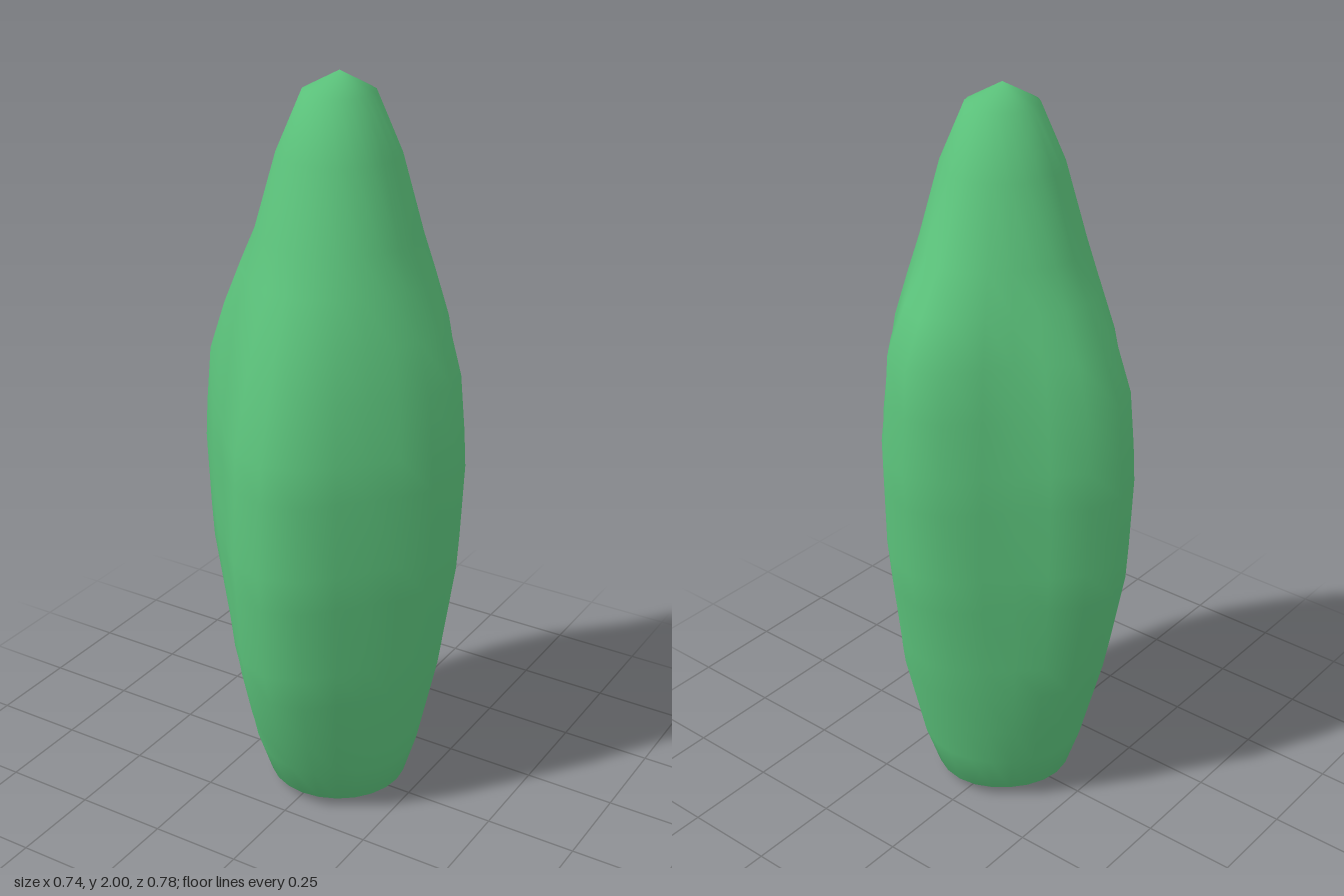
import * as THREE from 'three';

// Profiles as [height, radius] measured from the slightly offset axis
const AXIS_X = 0.02;
const FRONT = [[0, 0.13], [0.03, 0.19], [0.27, 0.31], [0.5, 0.37], [0.8, 0.39], [1.11, 0.37], [1.35, 0.305], [1.58, 0.215], [1.8, 0.155], [1.95, 0.09]];
const LEFT = [[0, 0.13], [0.03, 0.19], [0.15, 0.225], [0.4, 0.28], [0.7, 0.33], [1, 0.348], [1.25, 0.33], [1.4, 0.285], [1.58, 0.215], [1.8, 0.155], [1.95, 0.09]];
const BACK = [[0, 0.13], [0.03, 0.195], [0.15, 0.235], [0.4, 0.305], [0.75, 0.37], [1.1, 0.39], [1.38, 0.37], [1.5, 0.31], [1.62, 0.225], [1.8, 0.155], [1.95, 0.09]];
const RIGHT = [[0, 0.13], [0.03, 0.195], [0.15, 0.235], [0.4, 0.305], [0.68, 0.37], [1, 0.388], [1.25, 0.37], [1.42, 0.305], [1.6, 0.22], [1.8, 0.16], [1.95, 0.095]];
const VALLEY = [[0, 0.13], [0.03, 0.19], [0.15, 0.23], [0.4, 0.28], [0.8, 0.31], [1.1, 0.31], [1.4, 0.27], [1.6, 0.21], [1.8, 0.155], [1.95, 0.092]];
const HEIGHTS = [0, 0.03, 0.15, 0.27, 0.4, 0.5, 0.7, 0.8, 1, 1.1, 1.25, 1.38, 1.5, 1.6, 1.8, 1.95];
const SIDES = 24;

// Linear interpolation along a profile
function radiusAt(profile, y) {
  for (let i = 1; i < profile.length; i++) {
    const [y0, r0] = profile[i - 1], [y1, r1] = profile[i];
    if (y <= y1) return THREE.MathUtils.mapLinear(y, y0, y1, r0, r1);
  }
  return profile[profile.length - 1][1];
}

// Four rounded lobes, blended into shallow diagonal valleys
function lobedBody() {
  const lobes = [FRONT, LEFT, BACK, RIGHT];
  const positions = [], index = [];
  for (const y of HEIGHTS) {
    for (let i = 0; i < SIDES; i++) {
      const angle = (i / SIDES) * Math.PI * 2;
      const lobe = lobes[Math.round((i / SIDES) * 4) % 4];
      const r = THREE.MathUtils.lerp(radiusAt(VALLEY, y), radiusAt(lobe, y), Math.cos(2 * angle) ** 2);
      positions.push(AXIS_X + r * Math.sin(angle), y, r * Math.cos(angle));
    }
  }
  // Tip and base centre
  const tip = positions.length / 3, base = tip + 1;
  positions.push(AXIS_X, 2, 0, AXIS_X, 0, 0);
  const last = (HEIGHTS.length - 1) * SIDES;
  for (let i = 0; i < SIDES; i++) {
    const n = (i + 1) % SIDES;
    for (let row = 0; row < last; row += SIDES) {
      const a = row + i, b = row + n;
      index.push(a, b, a + SIDES, b, b + SIDES, a + SIDES);
    }
    index.push(last + i, last + n, tip, n, i, base);
  }
  const geometry = new THREE.BufferGeometry();
  geometry.setAttribute('position', new THREE.Float32BufferAttribute(positions, 3));
  geometry.setIndex(index);
  geometry.computeVertexNormals();
  return geometry;
}

export function createModel() {
  const group = new THREE.Group();
  group.name = 'plant';
  const body = new THREE.Mesh(lobedBody(), new THREE.MeshStandardMaterial({ color: 0x5cc47c }));
  body.name = 'foliage';
  group.add(body);
  return group;
}
